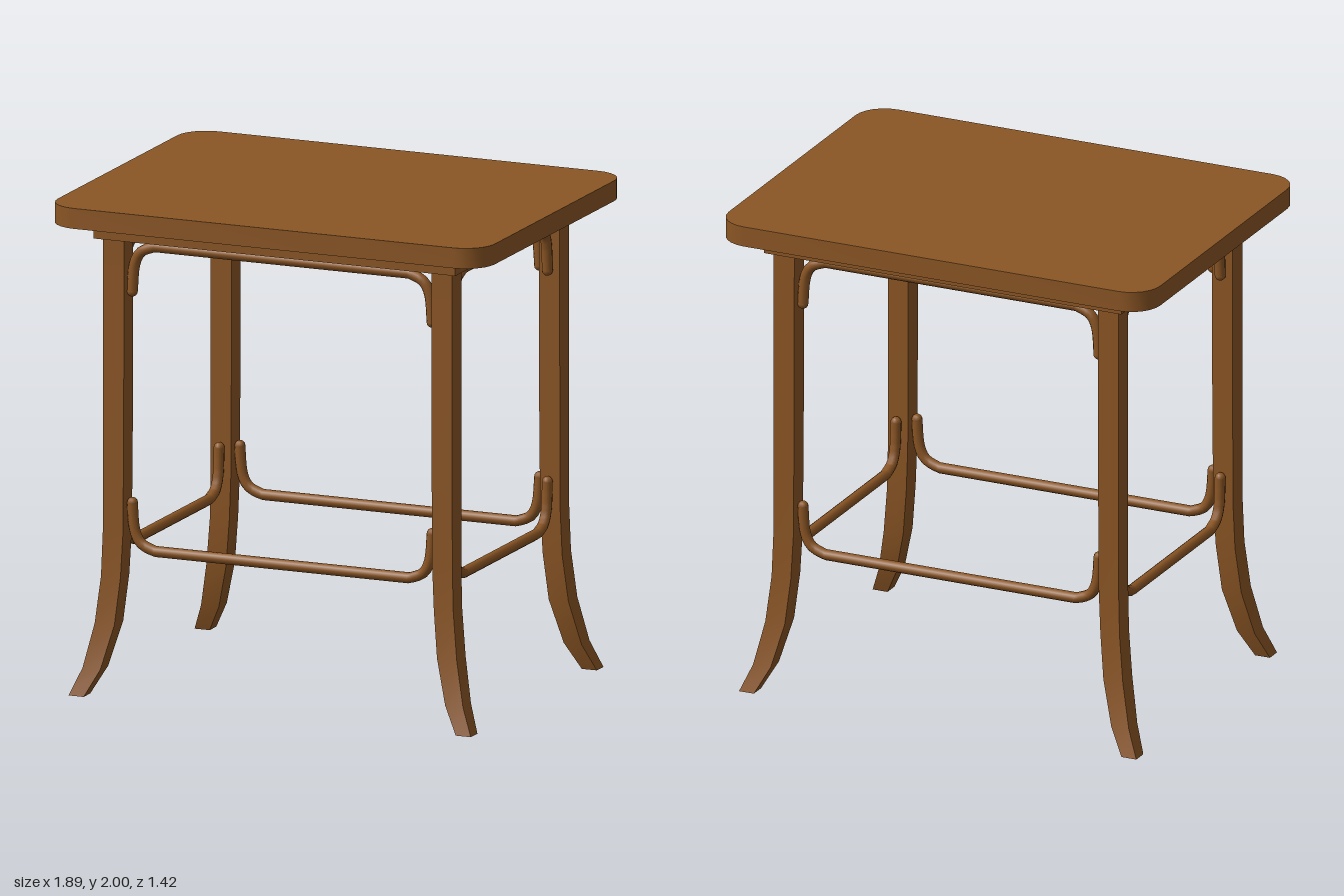
import * as THREE from 'three';
import { toCreasedNormals } from 'three/addons/utils/BufferGeometryUtils.js';

const wood = new THREE.MeshStandardMaterial({ color: 0x8a5524 });
wood.name = 'brown wood';

function add(parent, name, geometry) {
  const mesh = new THREE.Mesh(geometry, wood);
  mesh.name = name;
  parent.add(mesh);
  return mesh;
}

// Slab with rounded corners, w along x, d along z
function tableTop(w, d, h, r) {
  const x = w / 2, z = d / 2;
  const s = new THREE.Shape();
  s.absarc(x - r, z - r, r, 0, Math.PI / 2);
  s.absarc(-x + r, z - r, r, Math.PI / 2, Math.PI);
  s.absarc(-x + r, -z + r, r, Math.PI, Math.PI * 1.5);
  s.absarc(x - r, -z + r, r, Math.PI * 1.5, Math.PI * 2);
  const g = new THREE.ExtrudeGeometry(s, { depth: h, bevelEnabled: false, curveSegments: 3 });
  return toCreasedNormals(g.rotateX(-Math.PI / 2), 0.7);
}

// Leg rows: height, inner x, outer x, inner z, outer z
const legRows = [
  [1.86, 0.665, 0.755, 0.48, 0.57],
  [1.08, 0.666, 0.755, 0.481, 0.57],
  [0.66, 0.669, 0.756, 0.483, 0.571],
  [0.48, 0.678, 0.762, 0.488, 0.575],
  [0.29, 0.698, 0.783, 0.502, 0.589],
  [0.11, 0.746, 0.823, 0.54, 0.618],
  [0, 0.805, 0.87, 0.583, 0.648],
];

// Square post whose rows follow the outward sweep of the foot
function legGeometry(sx, sz) {
  const n = legRows.length - 1;
  const g = new THREE.BoxGeometry(1, 1, 1, 1, n, 1);
  const p = g.attributes.position;
  for (let i = 0; i < p.count; i++) {
    const [y, x0, x1, z0, z1] = legRows[Math.round((0.5 - p.getY(i)) * n)];
    p.setXYZ(i, p.getX(i) * sx > 0 ? sx * x1 : sx * x0, y, p.getZ(i) * sz > 0 ? sz * z1 : sz * z0);
  }
  return toCreasedNormals(g, 0.5);
}

// Bent rod between two legs; dir = 1 turns the ends up, -1 turns them down
const rodRadius = 0.022;
function bentRod(name, half, y, dir) {
  const rod = new THREE.Group();
  rod.name = name;
  const bend = [[0.002, 0.19], [0.005, 0.13], [0.014, 0.07], [0.04, 0.025], [0.1, 0]];
  const side = bend.map(([inset, rise]) => new THREE.Vector3(half - inset, y + dir * rise, 0));
  const other = side.map((v) => new THREE.Vector3(-v.x, v.y, 0)).reverse();
  const path = new THREE.CurvePath();
  const start = new THREE.CatmullRomCurve3(side);
  const end = new THREE.CatmullRomCurve3(other);
  const points = [
    ...start.getPoints(10),
    ...[0.5, 0, -0.5].map((t) => new THREE.Vector3(t * (half - 0.1), y, 0)),
    ...end.getPoints(10),
  ];
  for (let i = 1; i < points.length; i++) path.add(new THREE.LineCurve3(points[i - 1], points[i]));
  add(rod, 'rod', new THREE.TubeGeometry(path, 72, rodRadius, 10));
  for (const v of [side[0], other[other.length - 1]]) {
    add(rod, 'rodEnd', new THREE.SphereGeometry(rodRadius, 10, 8)).position.copy(v);
  }
  return rod;
}

export function createModel() {
  const table = new THREE.Group();
  table.name = 'sideTable';

  add(table, 'tableTop', tableTop(1.89, 1.42, 0.083, 0.125)).position.y = 1.917;
  add(table, 'apron', new THREE.BoxGeometry(1.566, 0.06, 1.206)).position.y = 1.888;

  for (const sx of [-1, 1]) {
    for (const sz of [-1, 1]) add(table, 'leg', legGeometry(sx, sz));
  }

  // Lower stretchers and upper braces on all four sides
  for (const [name, y, dir] of [['lowerStretcher', 0.59, 1], ['upperBrace', 1.83, -1]]) {
    for (const s of [-1, 1]) {
      const long = bentRod(name, 0.65, y, dir);
      long.position.z = s * 0.525;
      const short = bentRod(name, 0.463, y, dir);
      short.rotation.y = Math.PI / 2;
      short.position.x = s * 0.71;
      table.add(long, short);
    }
  }
  return table;
}
